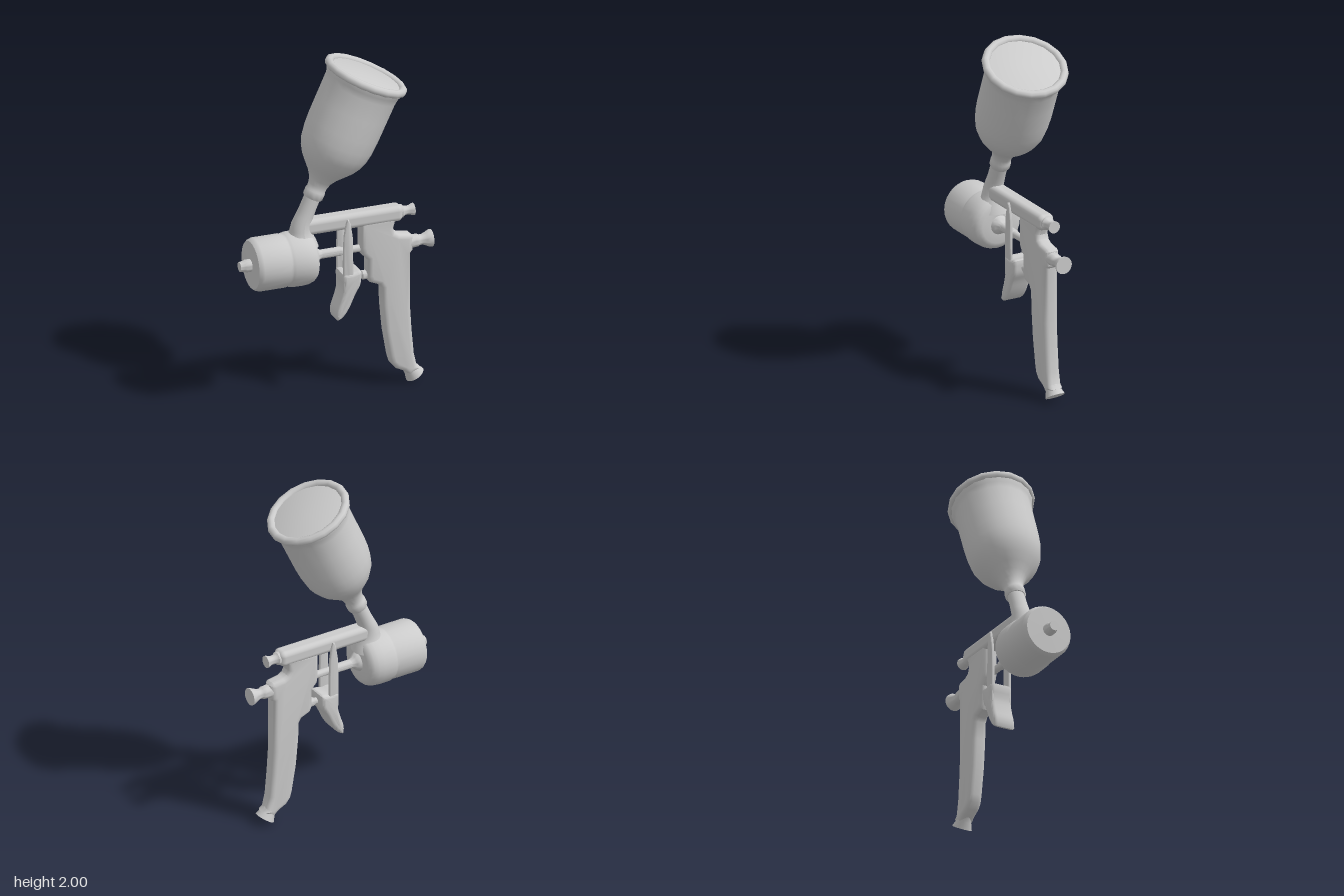
import * as THREE from 'three';
import { RoundedBoxGeometry } from 'three/addons/geometries/RoundedBoxGeometry.js';
import { toCreasedNormals } from 'three/addons/utils/BufferGeometryUtils.js';

const material = new THREE.MeshStandardMaterial({ color: 0xcccccc });
const vectors = (points) => points.map(([x, y]) => new THREE.Vector2(x, y));

function part(parent, name, geometry, x = 0, y = 0, z = 0) {
  const mesh = new THREE.Mesh(geometry, material);
  mesh.name = name;
  mesh.position.set(x, y, z);
  parent.add(mesh);
  return mesh;
}

// Turned part: profile is [radius, height] from bottom to top
function turned(profile, sides = 24) {
  return toCreasedNormals(new THREE.LatheGeometry(vectors(profile), sides), 0.7);
}

// Turned part lying along x: profile is [radius, x] from -x to +x
function turnedX(profile, sides = 24) {
  return turned(profile, sides).rotateZ(-Math.PI / 2);
}

// Side outline thickened symmetrically about z = 0, with rounded edges inside the outline
function slab(outline, thickness, round, smooth = false) {
  let shape = new THREE.Shape(vectors(outline));
  if (smooth) {
    const curve = new THREE.CatmullRomCurve3(
      outline.map(([x, y]) => new THREE.Vector3(x, y, 0)), true, 'centripetal');
    shape = new THREE.Shape(curve.getPoints(40).slice(0, -1).map((p) => new THREE.Vector2(p.x, p.y)));
  }
  const geometry = new THREE.ExtrudeGeometry(shape, {
    depth: thickness - 2 * round, bevelThickness: round, bevelSize: round,
    bevelOffset: -round, bevelSegments: 4,
  });
  geometry.translate(0, 0, round - thickness / 2);
  return toCreasedNormals(geometry, 0.65);
}

export function createModel() {
  const model = new THREE.Group();
  model.name = 'gravityFeedSprayGun';

  // Gun body, set slightly behind the centre of the cup rim
  const gun = new THREE.Group();
  gun.name = 'gun';
  gun.position.z = -0.018;
  model.add(gun);

  // Handle with upper housing and curved grip
  part(gun, 'handle', slab([
    [0.14, 1.02], [0.14, 0.86], [0.148, 0.82], [0.18, 0.785], [0.18, 0.68], [0.195, 0.645],
    [0.25, 0.622], [0.264, 0.6], [0.268, 0.495], [0.283, 0.336], [0.31, 0.177], [0.322, 0.135],
    [0.35, 0.1], [0.395, 0.078], [0.435, 0.045], [0.497, 0.085], [0.474, 0.105], [0.458, 0.177],
    [0.445, 0.32], [0.436, 0.46], [0.436, 0.785], [0.45, 0.8], [0.45, 0.885], [0.435, 0.9],
    [0.37, 0.91], [0.345, 0.925], [0.335, 0.95], [0.345, 0.985], [0.36, 1.02],
  ], 0.088, 0.028));

  // Flared air inlet at the foot of the grip
  const inlet = part(gun, 'airInlet', turned([
    [0, -0.075], [0.04, -0.075], [0.042, -0.04], [0.055, -0.005], [0.056, 0], [0, 0],
  ]), 0.472, 0.036);
  inlet.quaternion.setFromUnitVectors(
    new THREE.Vector3(0, 1, 0), new THREE.Vector3(0.54, -0.84, 0).normalize());

  // Barrel bar
  part(gun, 'barrel', new RoundedBoxGeometry(0.59, 0.092, 0.096, 4, 0.03), 0.095, 1.034);

  // Rear adjusting knobs
  part(gun, 'upperKnob', turnedX([
    [0, 0.36], [0.04, 0.36], [0.038, 0.395], [0.028, 0.405], [0.025, 0.425],
    [0.027, 0.44], [0.034, 0.455], [0.035, 0.465], [0, 0.465],
  ]), 0, 1.034);
  part(gun, 'lowerKnob', turnedX([
    [0, 0.43], [0.041, 0.43], [0.037, 0.47], [0.036, 0.488], [0.03, 0.496], [0.03, 0.515],
    [0.038, 0.535], [0.049, 0.558], [0.05, 0.57], [0, 0.57],
  ]), 0, 0.843);

  // Air cap drum with front nozzle
  part(gun, 'airCapDrum', turnedX([
    [0, -0.57], [0.028, -0.57], [0.031, -0.545], [0.036, -0.535], [0.036, -0.505],
    [0.137, -0.503], [0.147, -0.49], [0.152, -0.475], [0.152, -0.32], [0.149, -0.31],
    [0.152, -0.3], [0.156, -0.285], [0.157, -0.22], [0.154, -0.185], [0.145, -0.16],
    [0.13, -0.143], [0.108, -0.135], [0.055, -0.133], [0.05, -0.122], [0.04, -0.11],
    [0.03, -0.1], [0.026, -0.085], [0, -0.08],
  ], 28), 0, 0.85);

  // Needle rod and trigger return pin
  part(gun, 'needleRod', turnedX([
    [0, -0.12], [0.026, -0.12], [0.026, 0.03], [0.021, 0.035], [0.021, 0.16], [0, 0.16],
  ], 16), 0, 0.85);
  part(gun, 'returnPin', turnedX([
    [0, 0.1], [0.018, 0.1], [0.018, 0.15], [0.026, 0.158], [0.026, 0.2], [0, 0.2],
  ], 16), 0, 0.685);

  // Trigger: two side blades astride the barrel and a finger paddle
  const trigger = new THREE.Group();
  trigger.name = 'trigger';
  gun.add(trigger);
  for (const side of [-1, 1]) {
    part(trigger, side > 0 ? 'leftBlade' : 'rightBlade', slab([
      [0.027, 0.62], [0.025, 0.8], [0.029, 0.95], [0.042, 1.03], [0.05, 1.055],
      [0.06, 1.055], [0.07, 1.03], [0.082, 0.95], [0.085, 0.8], [0.088, 0.68], [0.07, 0.62],
    ], 0.02, 0.008), 0, 0, side * 0.052);
  }
  part(trigger, 'fingerPaddle', slab([
    [0.025, 0.73], [0.085, 0.73], [0.132, 0.735], [0.135, 0.69], [0.128, 0.65], [0.1, 0.6],
    [0.065, 0.525], [0.03, 0.475], [-0.006, 0.455], [-0.012, 0.5], [0.01, 0.57], [0.027, 0.64],
  ], 0.134, 0.022, true));

  // Feed elbow: a turned sleeve bent to meet the leaning cup
  const elbow = new THREE.LatheGeometry(vectors([
    [0.1, 0.92], [0.085, 0.96], [0.069, 0.99], [0.061, 1.02], [0.056, 1.06],
    [0.053, 1.1], [0.05, 1.14], [0.05, 1.2], [0.05, 1.25],
  ]), 24);
  const position = elbow.attributes.position;
  for (let i = 0; i < position.count; i++) {
    const lean = -0.116 + (position.getY(i) - 1.25) * 0.45;
    position.setX(i, position.getX(i) + Math.max(-0.207, lean));
  }
  elbow.computeVertexNormals();
  part(gun, 'feedElbow', elbow);

  // Leaning paint cup, measured down from its rim
  const cup = new THREE.Group();
  cup.name = 'cup';
  cup.position.set(0.175, 1.893, 0);
  cup.quaternion.setFromUnitVectors(
    new THREE.Vector3(0, 1, 0), new THREE.Vector3(0.41, 0.91, 0.025).normalize());
  model.add(cup);
  part(cup, 'cupBody', turned([
    [0, -0.76], [0.052, -0.76], [0.058, -0.75], [0.058, -0.715], [0.054, -0.705],
    [0.056, -0.68], [0.065, -0.65], [0.088, -0.615], [0.12, -0.58], [0.155, -0.54],
    [0.182, -0.495], [0.198, -0.45], [0.207, -0.395], [0.211, -0.32], [0.212, -0.2],
    [0.213, -0.08], [0.218, -0.045], [0.23, -0.02], [0.23, 0],
  ], 20));
  part(cup, 'cupRim', new THREE.TorusGeometry(0.222, 0.024, 10, 18).rotateX(Math.PI / 2));
  part(cup, 'lid', turned([[0.222, 0.0], [0.205, 0.006], [0, 0.008]], 18));

  return model;
}
